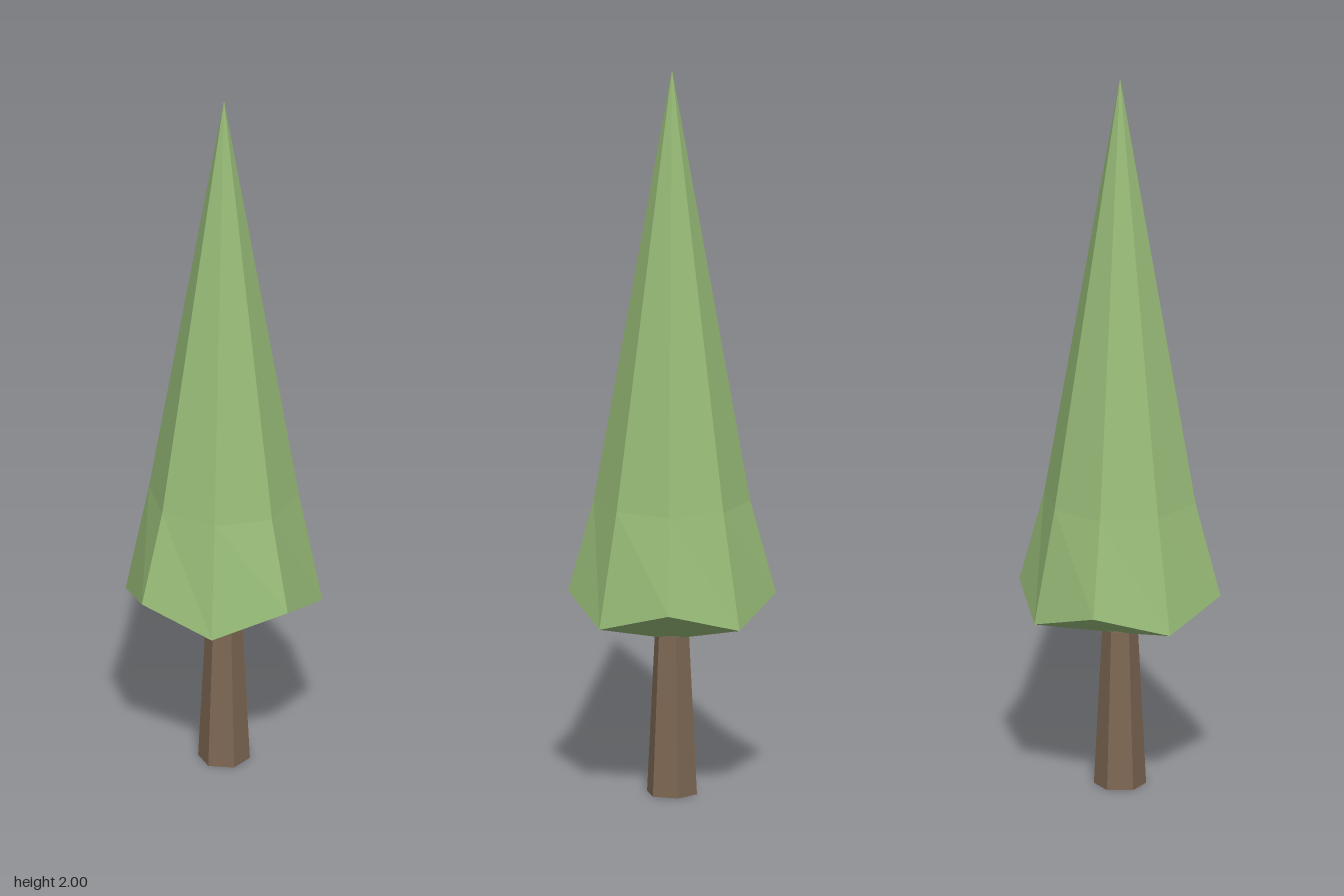
import * as THREE from 'three';

const SIDES = 8;

// Foliage profiles [radius, y]: one for the points on the axes, one for the diagonals
const AXIS = [[0, 0.425], [0.266, 0.495], [0.203, 0.81], [0, 2]];
const DIAGONAL = [[0, 0.425], [0.279, 0.555], [0.21, 0.81], [0, 2]];

function foliageGeometry() {
  const lathe = new THREE.LatheGeometry(AXIS.map(([r, y]) => new THREE.Vector2(r, y)), SIDES);
  const pos = lathe.attributes.position;
  // Move every second spoke onto the diagonal profile, lifting the hem corners
  for (let i = 1; i < SIDES; i += 2) {
    const a = (i / SIDES) * Math.PI * 2;
    DIAGONAL.forEach(([r, y], j) => {
      pos.setXYZ(i * DIAGONAL.length + j, r * Math.sin(a), y, r * Math.cos(a));
    });
  }
  const geometry = lathe.toNonIndexed();
  geometry.computeVertexNormals();
  return geometry;
}

export function createModel() {
  const tree = new THREE.Group();
  tree.name = 'tree';
  const add = (name, geometry, color) => {
    const mesh = new THREE.Mesh(geometry, new THREE.MeshStandardMaterial({ color, flatShading: true }));
    mesh.name = name;
    tree.add(mesh);
  };

  // Tapered six-sided trunk with corners on the x axis
  const trunk = new THREE.CylinderGeometry(0.048, 0.07, 0.44, 6);
  trunk.rotateY(Math.PI / 6).translate(0, 0.22, 0);
  add('trunk', trunk, 0x7d6753);

  // Pointed crown with a zigzag hem and shallow underside
  add('foliage', foliageGeometry(), 0x98bc78);

  return tree;
}
